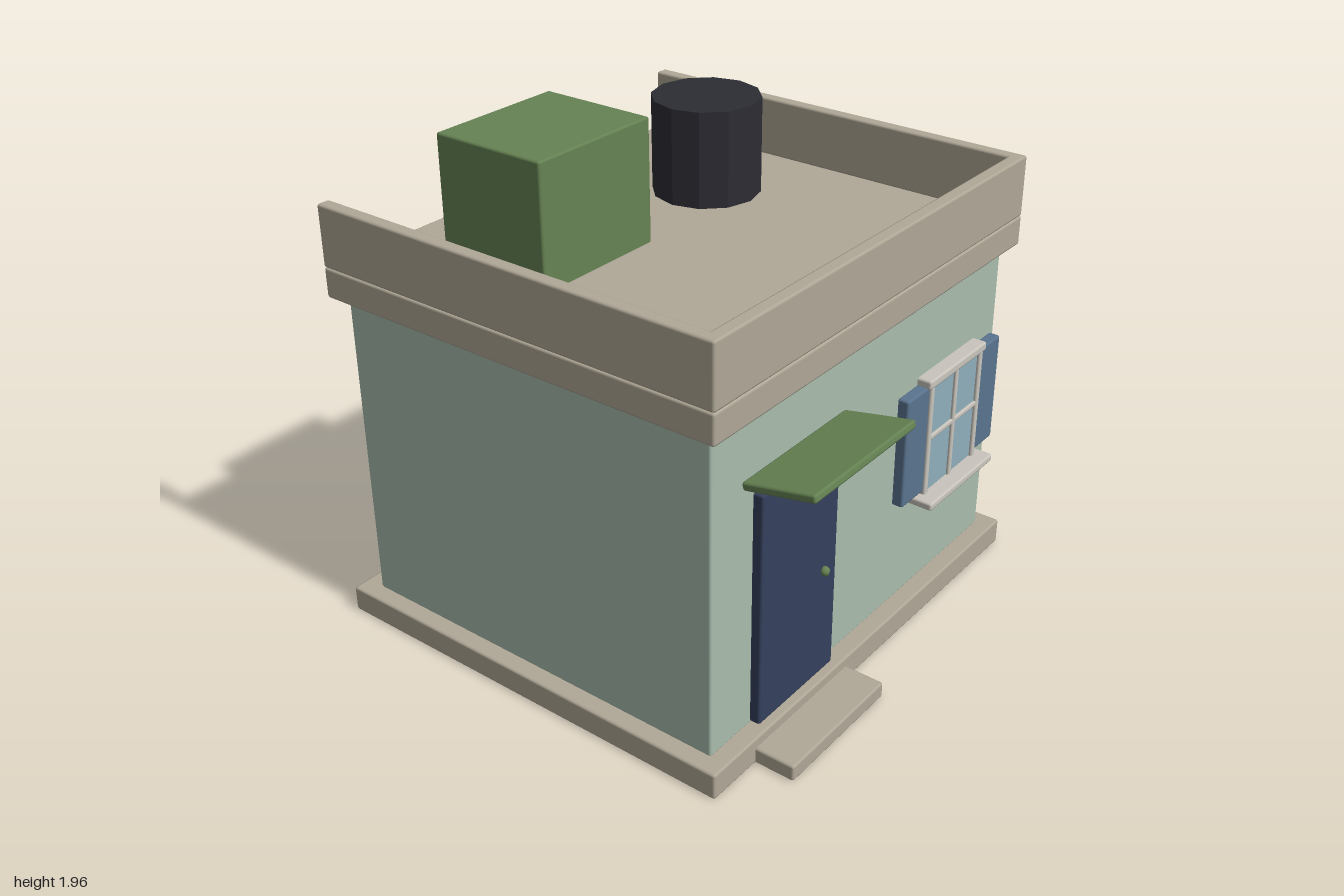
import * as THREE from 'three';
import { RoundedBoxGeometry } from 'three/addons/geometries/RoundedBoxGeometry.js';

const mat = (name, color) => {
  const m = new THREE.MeshStandardMaterial({ color });
  m.name = name;
  return m;
};

export function createModel() {
  const stone = mat('stone', 0xb0a897);
  const plaster = mat('mint plaster', 0xa9bdae);
  const navy = mat('navy door', 0x34405c);
  const blue = mat('shutter blue', 0x5a748f);
  const white = mat('window trim', 0xc9c5bd);
  const glass = mat('glass', 0x8fafbb);
  const green = mat('green', 0x668353);
  const black = mat('tank black', 0x2c2c34);

  const house = new THREE.Group();
  house.name = 'house';

  // Softly bevelled box given by its extents on each axis
  const box = (name, material, [x0, x1], [y0, y1], [z0, z1], parent = house) => {
    const size = [x1 - x0, y1 - y0, z1 - z0];
    const radius = Math.min(0.01, Math.min(...size) * 0.3);
    const mesh = new THREE.Mesh(new RoundedBoxGeometry(...size, 1, radius), material);
    mesh.position.set((x0 + x1) / 2, (y0 + y1) / 2, (z0 + z1) / 2);
    mesh.name = name;
    parent.add(mesh);
    return mesh;
  };
  const group = (name) => {
    const g = new THREE.Group();
    g.name = name;
    house.add(g);
    return g;
  };

  // Foundation, walls and roof slab
  box('foundation', stone, [-0.985, 0.985], [0, 0.105], [-1, 0.78]);
  box('frontStep', stone, [-0.75, -0.175], [0, 0.065], [0.7, 0.94]);
  box('walls', plaster, [-0.915, 0.915], [0.1, 1.375], [-0.92, 0.71]);
  box('roofSlab', stone, [-0.965, 0.965], [1.365, 1.483], [-0.975, 0.76]);

  // Parapet on three sides, open at the back
  const parapet = group('parapet');
  box('frontParapet', stone, [-0.965, 0.965], [1.483, 1.725], [0.705, 0.76], parapet);
  for (const s of [-1, 1]) {
    const x = [0.91 * s, 0.965 * s].sort((a, b) => a - b);
    box('sideParapet', stone, x, [1.483, 1.725], [-0.975, 0.755], parapet);
  }

  // Rooftop unit and water tank
  box('roofUnit', green, [-0.655, -0.08], [1.475, 1.962], [-0.68, -0.2]);
  const tankGeometry = new THREE.CylinderGeometry(0.216, 0.216, 0.39, 12).toNonIndexed();
  tankGeometry.computeVertexNormals();
  const tank = new THREE.Mesh(tankGeometry, black);
  tank.position.set(0.455, 1.673, -0.358);
  tank.name = 'roofTank';
  house.add(tank);

  // Door, knob and upward-tilted canopy
  box('door', navy, [-0.688, -0.233], [0.108, 1.05], [0.69, 0.75]);
  const knob = new THREE.Mesh(new THREE.SphereGeometry(0.019, 8, 6), green);
  knob.position.set(-0.315, 0.557, 0.757);
  knob.name = 'doorKnob';
  house.add(knob);
  const canopy = box('doorCanopy', green, [-0.76, -0.16], [1.124, 1.156], [0.712, 0.998]);
  canopy.rotation.x = -0.2;

  // Front window with shutters
  const win = group('frontWindow');
  box('windowPane', glass, [0.37, 0.73], [0.53, 1.0], [0.7, 0.752], win);
  box('windowHead', white, [0.338, 0.757], [0.995, 1.033], [0.7, 0.768], win);
  box('windowSill', white, [0.31, 0.785], [0.505, 0.537], [0.7, 0.82], win);
  for (const x of [0.368, 0.728]) {
    box('windowJamb', white, [x - 0.014, x + 0.014], [0.53, 1.0], [0.7, 0.764], win);
  }
  box('verticalBar', white, [0.536, 0.56], [0.53, 1.0], [0.72, 0.763], win);
  box('horizontalBar', white, [0.37, 0.73], [0.765, 0.786], [0.72, 0.762], win);
  for (const x of [0.205, 0.733]) {
    box('shutter', blue, [x, x + 0.157], [0.548, 1.003], [0.705, 0.755], win);
  }

  // Two framed windows on the left wall, panes standing proud
  for (const z of [0.224, -0.433]) {
    const side = group('sideWindow');
    const x = [0.895, 0.947];
    box('framePost', white, x, [0.542, 1.01], [z - 0.186, z - 0.14], side);
    box('framePost', white, x, [0.542, 1.01], [z + 0.14, z + 0.186], side);
    box('frameRail', white, x, [0.542, 0.588], [z - 0.18, z + 0.18], side);
    box('frameRail', white, x, [0.964, 1.01], [z - 0.18, z + 0.18], side);
    box('sidePane', glass, [0.9, 0.962], [0.583, 0.97], [z - 0.146, z + 0.146], side);
  }

  return house;
}
